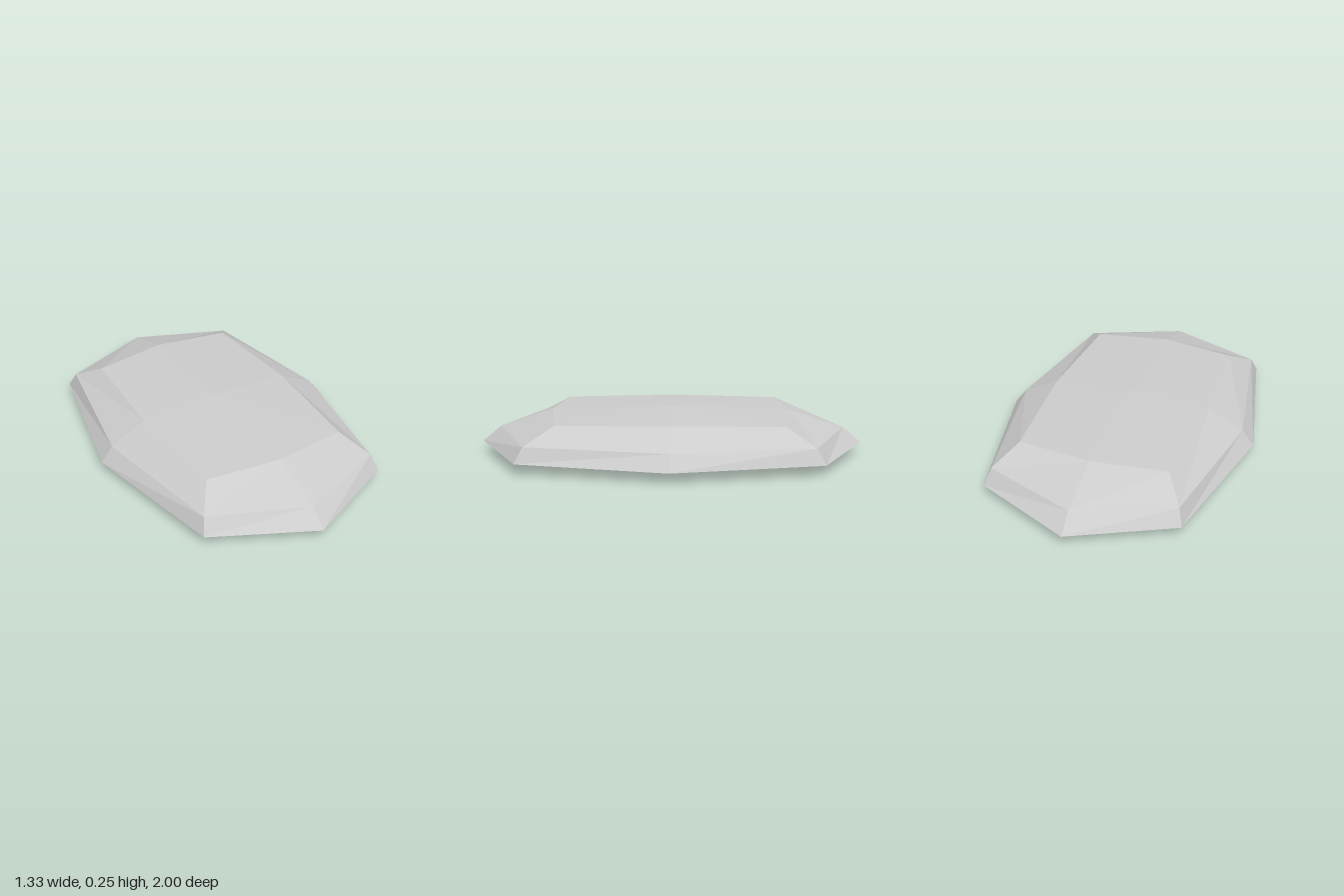
import * as THREE from 'three';

// Skin stacked rings (bottom to top, each a loop of [x, y, z]) with faceted faces and optional end points
function loft(rings, bottom, top) {
  const pos = [];
  const tri = (a, b, c) => pos.push(...a, ...b, ...c);
  const n = rings[0].length;
  const last = rings[rings.length - 1];
  for (let i = 0; i < n; i++) {
    const j = (i + 1) % n;
    for (let k = 0; k < rings.length - 1; k++) {
      const lo = rings[k], hi = rings[k + 1];
      tri(lo[i], hi[i], lo[j]);
      tri(lo[j], hi[i], hi[j]);
    }
    if (top) tri(last[i], top, last[j]);
    if (bottom) tri(rings[0][j], bottom, rings[0][i]);
  }
  const geo = new THREE.BufferGeometry();
  geo.setAttribute('position', new THREE.Float32BufferAttribute(pos, 3));
  geo.computeVertexNormals();
  return geo;
}

// Eight-sided ring from its side point, corner and end point
function octagon({ side, sideY, corner: [cx, cy, cz], end, endY }) {
  return [
    [side, sideY, 0], [cx, cy, cz], [0, endY, end], [-cx, cy, cz],
    [-side, sideY, 0], [-cx, cy, -cz], [0, endY, -end], [cx, cy, -cz],
  ];
}

// Rounded rectangle ring
function roundedRing(hx, hz, y, radius, steps = 4) {
  const pts = [];
  [[1, 1], [-1, 1], [-1, -1], [1, -1]].forEach(([sx, sz], q) => {
    for (let s = 0; s <= steps; s++) {
      const t = (q + s / steps) * Math.PI / 2;
      pts.push([sx * (hx - radius) + Math.cos(t) * radius, y, sz * (hz - radius) + Math.sin(t) * radius]);
    }
  });
  return pts;
}

export function createModel() {
  const group = new THREE.Group();
  const grey = new THREE.MeshStandardMaterial({ color: 0xcccccc, side: THREE.DoubleSide });
  grey.name = 'light grey';

  // Hollow faceted canopy, open underneath
  const shell = new THREE.Mesh(loft([
    octagon({ side: 0.665, sideY: 0.065, corner: [0.505, 0.065, 0.76], end: 1, endY: 0.065 }),
    octagon({ side: 0.605, sideY: 0.145, corner: [0.48, 0.145, 0.717], end: 0.905, endY: 0.145 }),
    octagon({ side: 0.42, sideY: 0.238, corner: [0.384, 0.23, 0.573], end: 0.627, endY: 0.238 }),
  ], null, [0, 0.26, 0]), grey);
  shell.name = 'canopyShell';
  group.add(shell);

  // Stepped boss hanging below the middle: [half width, half length, height]
  const profile = [
    [0.07, 0.105, 0.01], [0.078, 0.113, 0.013], [0.098, 0.138, 0.03], [0.104, 0.144, 0.033],
    [0.118, 0.16, 0.048], [0.122, 0.165, 0.051], [0.135, 0.18, 0.065],
  ];
  const boss = new THREE.Mesh(loft(
    profile.map(([hx, hz, y]) => roundedRing(hx, hz, y, hx * 0.5)),
    [0, 0.01, 0], [0, 0.065, 0]), grey);
  boss.name = 'undersideBoss';
  group.add(boss);

  return group;
}
